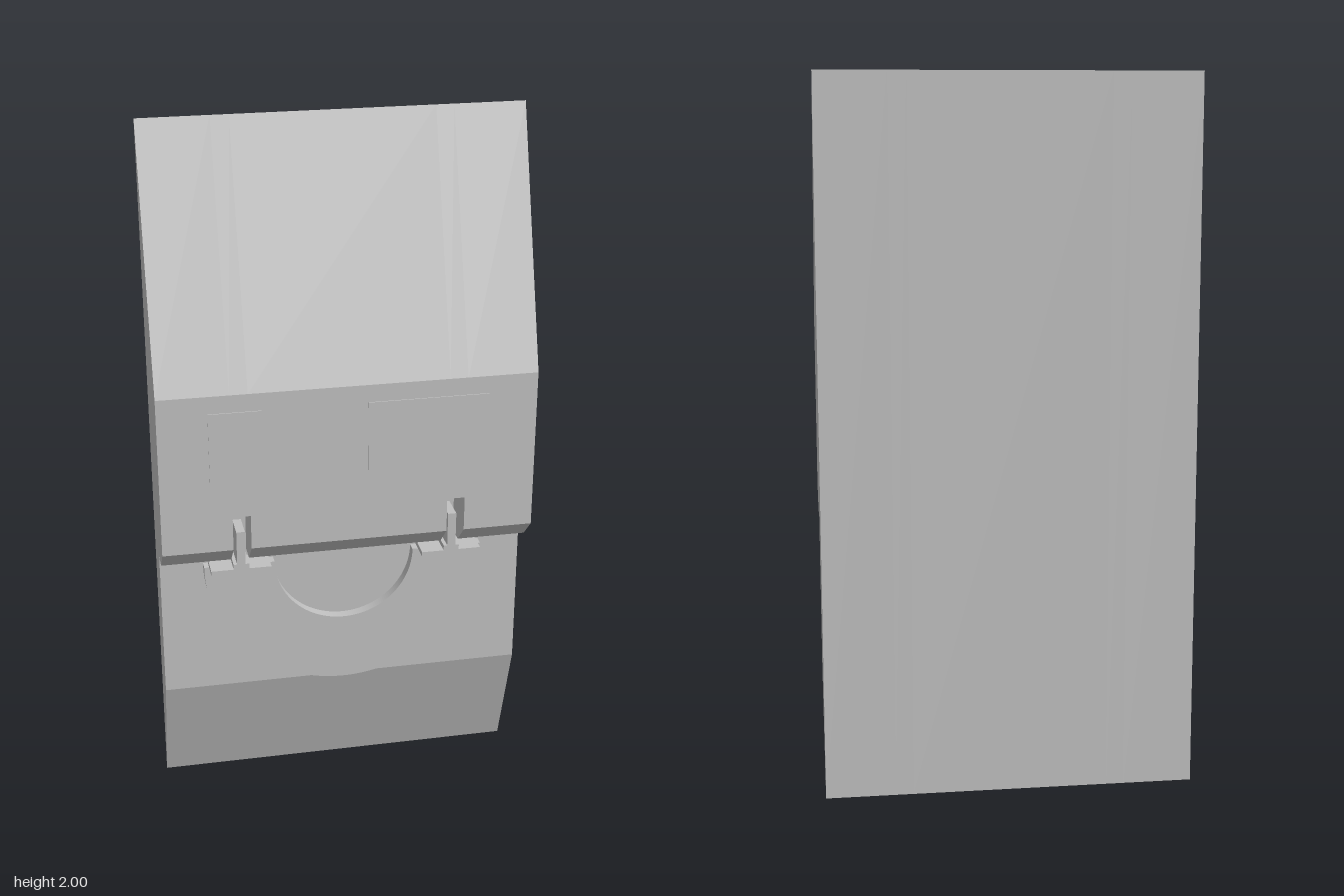
import * as THREE from 'three';

export function createModel() {
  const group = new THREE.Group();
  const grey = new THREE.MeshStandardMaterial({ color: 0xc0c0c0 });
  grey.name = 'plain grey';

  const add = (name, geometry, parent = group) => {
    const mesh = new THREE.Mesh(geometry, grey);
    mesh.name = name;
    parent.add(mesh);
    return mesh;
  };
  const box = (name, x0, x1, y0, y1, z0, z1, parent) =>
    add(name, new THREE.BoxGeometry(x1 - x0, y1 - y0, z1 - z0), parent)
      .position.set((x0 + x1) / 2, (y0 + y1) / 2, (z0 + z1) / 2);

  // Side profiles as [z, y], counter-clockwise; the slotted one has a recess in the overhang
  const lower = [[-0.115, 0], [0, 0.35], [0, 0.79]];
  const upper = [[0.115, 1.31], [-0.115, 2]];
  const solid = [...lower, [0.055, 0.79], [0.115, 0.85], ...upper];
  const slotted = [...lower, [0, 0.93], [0.02, 0.93], [0.02, 0.95], [0.115, 0.95], ...upper];

  // Body: slices across the width, alternating solid and slotted
  const body = new THREE.Group();
  body.name = 'body';
  group.add(body);
  const cuts = [-0.522, -0.326, -0.276, 0.276, 0.326, 0.522];
  for (let i = 0; i < cuts.length - 1; i++) {
    const profile = i % 2 ? slotted : solid;
    const shape = new THREE.Shape(profile.map(([z, y]) => new THREE.Vector2(z, y)));
    const geometry = new THREE.ExtrudeGeometry(shape, { depth: cuts[i + 1] - cuts[i], bevelEnabled: false });
    geometry.rotateY(-Math.PI / 2).translate(cuts[i + 1], 0, 0);
    add(i % 2 ? 'slottedSlice' : 'bodySlice', geometry, body);
  }

  // Half-ring handle lying on the lower face
  const ring = new THREE.Shape();
  ring.absarc(0, 0, 0.4, Math.PI, Math.PI * 2, false);
  ring.absarc(0, 0, 0.2, Math.PI * 2, Math.PI, true);
  const handle = new THREE.ExtrudeGeometry(ring, { depth: 0.03, bevelEnabled: false, curveSegments: 48 });
  add('handle', handle.translate(0, 0.757, 0));

  // Hangers: a flange on each handle end with a stem rising into the slot
  for (const side of [-1, 1]) {
    const hanger = new THREE.Group();
    hanger.name = side > 0 ? 'leftHanger' : 'rightHanger';
    hanger.position.x = side * 0.301;
    group.add(hanger);
    box('flange', -0.085, 0.085, 0.757, 0.77, 0, 0.08, hanger);
    box('stem', -0.012, 0.012, 0.77, 0.885, 0, 0.08, hanger);
    box('stemFoot', -0.022, 0.022, 0.77, 0.785, 0, 0.08, hanger);
  }

  // Thin raised panels on the upper face
  box('smallPanel', -0.385, -0.24, 1.06, 1.26, 0.112, 0.118);
  box('largePanel', 0.05, 0.385, 1.06, 1.26, 0.112, 0.118);

  return group;
}
